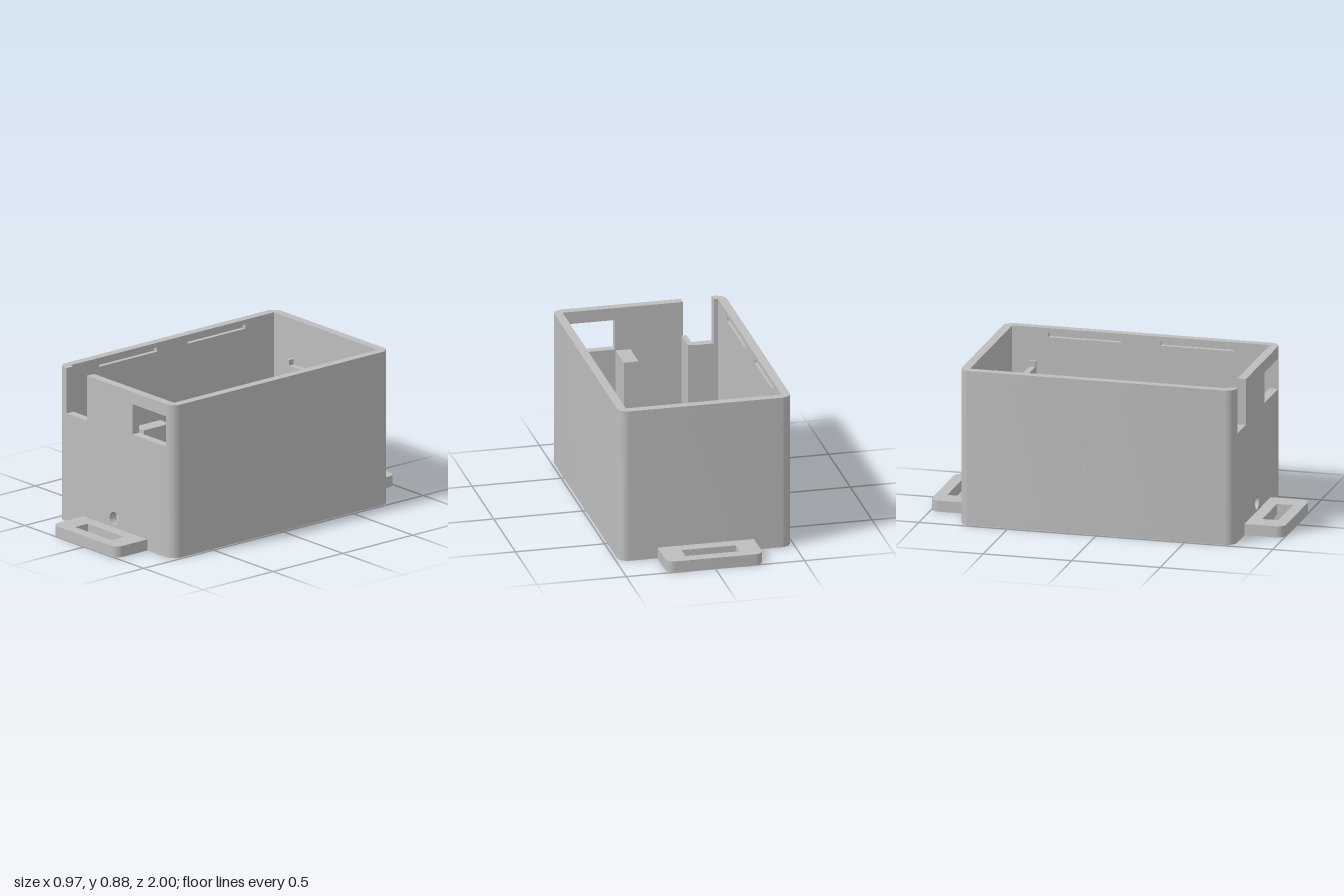
import * as THREE from 'three';
import { toCreasedNormals } from 'three/addons/utils/BufferGeometryUtils.js';

const W = 0.484, D = 0.777, H = 0.876;   // outer half width, half depth, height
const IW = 0.436, ID = 0.728;            // inner half width, half depth
const FLOOR = 0.05, R = 0.057;           // floor thickness, corner radius
const NOTCH_X = -0.412, WINDOW_X = 0.427; // where the front panel meets the corners

// Extrude a plan shape (drawn as x, -z) upwards from y0 to y1
function raise(shape, y0, y1) {
  const geo = new THREE.ExtrudeGeometry(shape, { depth: y1 - y0, bevelEnabled: false, curveSegments: 10 });
  geo.rotateX(-Math.PI / 2).translate(0, y0, 0);
  return toCreasedNormals(geo, 0.6);
}

function polygon(points, Type = THREE.Shape) {
  return new Type(points.map(([x, y]) => new THREE.Vector2(x, y)));
}

function roundedRect(w, d, r) {
  const s = new THREE.Shape();
  s.absarc(w - r, d - r, r, 0, Math.PI / 2);
  s.absarc(-w + r, d - r, r, Math.PI / 2, Math.PI);
  s.absarc(-w + r, -d + r, r, Math.PI, Math.PI * 1.5);
  s.absarc(w - r, -d + r, r, Math.PI * 1.5, Math.PI * 2);
  s.closePath();
  return s;
}

// Plan of the side and back walls, open at the front; grooveDepth cuts the inner faces
function wallPlan(grooveDepth) {
  const s = new THREE.Shape();
  s.moveTo(WINDOW_X, -D);
  s.absarc(W - R, -D + R, R, -Math.PI / 2, 0);
  s.absarc(W - R, D - R, R, 0, Math.PI / 2);
  s.absarc(-W + R, D - R, R, Math.PI / 2, Math.PI);
  s.absarc(-W + R, -D + R, R, Math.PI, Math.PI * 1.5);
  s.lineTo(NOTCH_X, -D);
  s.lineTo(NOTCH_X, -ID);
  s.lineTo(-IW, -ID);
  const g = IW + grooveDepth;
  const side = [[-0.525, -0.11], [0.11, 0.525]];
  if (grooveDepth) for (const [a, b] of side) {
    s.lineTo(-IW, a); s.lineTo(-g, a); s.lineTo(-g, b); s.lineTo(-IW, b);
  }
  s.lineTo(-IW, ID);
  s.lineTo(IW, ID);
  if (grooveDepth) for (const [a, b] of side) {
    s.lineTo(IW, -a); s.lineTo(g, -a); s.lineTo(g, -b); s.lineTo(IW, -b);
  }
  s.lineTo(IW, -ID);
  s.lineTo(WINDOW_X, -ID);
  s.closePath();
  return s;
}

export function createModel() {
  const model = new THREE.Group();
  model.name = 'enclosure';
  const grey = new THREE.MeshStandardMaterial({ color: 0xbdbdbd });
  grey.name = 'grey plastic';

  const add = (name, geo) => {
    const mesh = new THREE.Mesh(geo, grey);
    mesh.name = name;
    model.add(mesh);
  };
  const box = (name, x0, x1, y0, y1, z0, z1) => {
    const geo = new THREE.BoxGeometry(x1 - x0, y1 - y0, z1 - z0);
    add(name, geo.translate((x0 + x1) / 2, (y0 + y1) / 2, (z0 + z1) / 2));
  };

  // Floor and walls, with a band of lid grooves near the rim
  add('floor', raise(roundedRect(W, D, R), 0, FLOOR));
  add('lowerWalls', raise(wallPlan(0), FLOOR, 0.825));
  add('groovedWalls', raise(wallPlan(0.025), 0.825, 0.85));
  add('rimWalls', raise(wallPlan(0), 0.85, H));

  // Front panel with corner notch, window and round cable hole
  const front = polygon([
    [NOTCH_X, FLOOR], [WINDOW_X, FLOOR], [WINDOW_X, 0.633], [0.143, 0.633], [0.143, 0.806],
    [WINDOW_X, 0.806], [WINDOW_X, H], [-0.238, H], [-0.238, 0.617], [NOTCH_X, 0.617],
  ]);
  const hole = new THREE.Path();
  hole.absarc(-0.01, 0.112, 0.038, 0, Math.PI * 2);
  front.holes.push(hole);
  const frontGeo = new THREE.ExtrudeGeometry(front, { depth: D - ID, bevelEnabled: false, curveSegments: 32 });
  add('frontPanel', toCreasedNormals(frontGeo.translate(0, 0, ID), 0.6));

  // Slotted mounting tabs at both ends
  for (const s of [1, -1]) {
    const tab = new THREE.Shape();
    const r = 0.045, w = 0.27;
    tab.moveTo(-w, D);
    tab.lineTo(w, D);
    tab.absarc(w - r, 1 - r, r, 0, Math.PI / 2);
    tab.absarc(-w + r, 1 - r, r, Math.PI / 2, Math.PI);
    tab.closePath();
    tab.holes.push(polygon([[-0.152, 0.845], [-0.152, 0.935], [0.152, 0.935], [0.152, 0.845]], THREE.Path));
    const geo = raise(tab, 0, 0.063);
    if (s > 0) geo.rotateY(Math.PI);
    add(s > 0 ? 'frontTab' : 'backTab', geo);
  }

  // Inner supports: back divider with end posts, and two blocks near the front
  box('divider', -0.125, 0.337, FLOOR, 0.68, -0.605, -0.57);
  box('dividerPostRight', -0.148, -0.125, FLOOR, 0.712, -0.605, -0.57);
  box('dividerPostLeft', 0.337, 0.36, FLOOR, 0.712, -0.605, -0.57);
  box('supportBlock', 0.063, 0.146, FLOOR, 0.64, 0.51, 0.698);
  box('supportRib', -0.244, -0.216, FLOOR, 0.705, 0.52, 0.667);

  return model;
}
